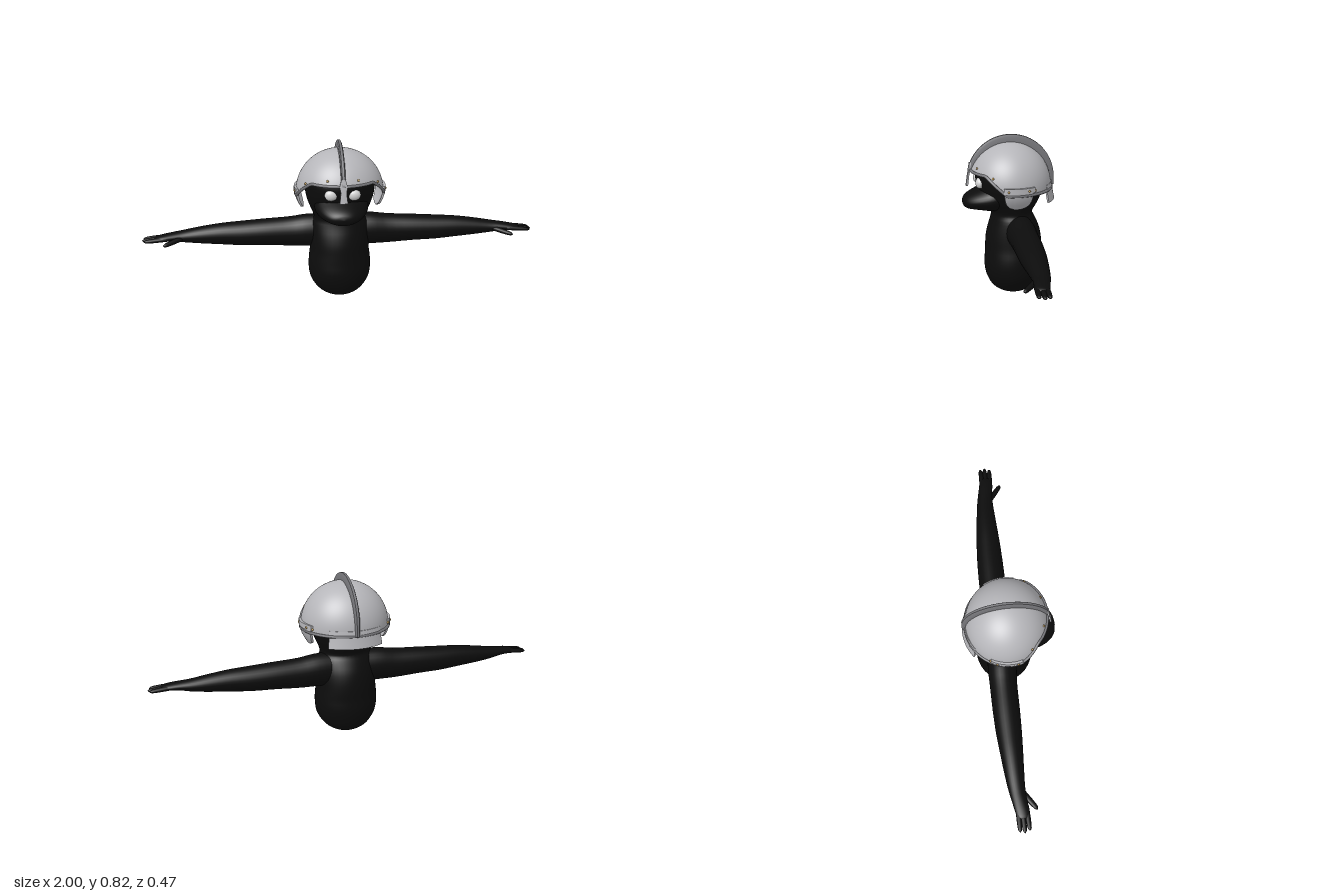
import * as THREE from 'three';
import { toCreasedNormals } from 'three/addons/utils/BufferGeometryUtils.js';

const V = (x, y, z) => new THREE.Vector3(x, y, z);
const mat = (name, color, side = THREE.FrontSide) => {
  const m = new THREE.MeshStandardMaterial({ color, side });
  m.name = name;
  return m;
};

// Closed, capped skin over rings of points; "smooth" adds splined rings in between
function loft(rings, smooth = 0, crease = 0) {
  const n = rings[0].length;
  if (smooth) {
    const cols = rings[0].map((_, j) => new THREE.CatmullRomCurve3(rings.map(r => r[j]), false, 'centripetal'));
    const total = (rings.length - 1) * smooth;
    rings = Array.from({ length: total + 1 }, (_, i) => cols.map(c => c.getPoint(i / total)));
  }
  const pts = rings.flat(), idx = [], last = rings.length - 1;
  for (let i = 0; i < last; i++) for (let j = 0; j < n; j++) {
    const a = i * n + j, b = i * n + (j + 1) % n;
    idx.push(a, b, a + n, b, b + n, a + n);
  }
  for (const [row, end] of [[0, 0], [last, 1]]) {
    const c = pts.length, mid = V(0, 0, 0);
    rings[row].forEach(p => mid.addScaledVector(p, 1 / n));
    pts.push(mid);
    for (let j = 0; j < n; j++) {
      const a = row * n + j, b = row * n + (j + 1) % n;
      if (end) idx.push(a, b, c); else idx.push(b, a, c);
    }
  }
  // Turn the faces outwards when the signed volume is negative
  let vol = 0;
  for (let i = 0; i < idx.length; i += 3) {
    vol += pts[idx[i]].dot(V(0, 0, 0).crossVectors(pts[idx[i + 1]], pts[idx[i + 2]]));
  }
  if (vol < 0) idx.reverse();
  const g = new THREE.BufferGeometry().setFromPoints(pts);
  g.setIndex(idx);
  g.computeVertexNormals();
  return crease ? toCreasedNormals(g, crease) : g;
}

const ring = (n, f) => Array.from({ length: n }, (_, j) => {
  const a = j / n * Math.PI * 2;
  return f(Math.cos(a), Math.sin(a));
});

// Helmet shell dimensions
const CY = 0.57, CZ = -0.005, RX = 0.22, RY = 0.215, RZ = 0.208;
const rimY = z => THREE.MathUtils.lerp(0.56, 0.647, THREE.MathUtils.clamp((z - 0.03) / 0.1, 0, 1));
const domePoint = (a, y, grow = 0) => {
  const s = Math.sqrt(Math.max(0, 1 - ((Math.max(y, CY) - CY) / RY) ** 2));
  return V((RX + grow) * s * Math.sin(a), y, CZ + (RZ + grow) * s * Math.cos(a));
};
const sideX = z => Math.sqrt(Math.max(0, 1 - ((z - CZ) / RZ) ** 2));

export function createModel() {
  const model = new THREE.Group();
  const fur = mat('black fur', 0x0c0c0c);
  const steel = mat('light steel', 0xb6b6ba, THREE.DoubleSide);
  const dark = mat('dark steel', 0x77777b);
  const brass = mat('brass', 0xb3914f);
  const eyeWhite = mat('eye white', 0xd6d6d6);
  const add = (name, geo, m) => {
    const mesh = new THREE.Mesh(geo, m);
    mesh.name = name;
    model.add(mesh);
    return mesh;
  };

  // Torso, neck and head: y, half width, front z, back z
  const body = [
    [0, 0.005, -0.02, -0.03], [0.006, 0.04, 0.015, -0.065], [0.022, 0.08, 0.055, -0.102],
    [0.05, 0.116, 0.088, -0.135], [0.1, 0.148, 0.113, -0.157], [0.15, 0.158, 0.122, -0.167],
    [0.2, 0.158, 0.12, -0.166], [0.25, 0.152, 0.118, -0.168], [0.3, 0.15, 0.115, -0.165],
    [0.35, 0.148, 0.105, -0.154], [0.4, 0.142, 0.09, -0.132], [0.43, 0.13, 0.086, -0.118],
    [0.46, 0.138, 0.1, -0.133], [0.5, 0.155, 0.13, -0.155], [0.55, 0.17, 0.152, -0.168],
    [0.6, 0.176, 0.166, -0.172], [0.64, 0.175, 0.165, -0.17], [0.7, 0.135, 0.125, -0.135],
    [0.74, 0.03, 0.03, -0.03],
  ];
  add('body', loft(body.map(([y, rx, f, b]) =>
    ring(40, (c, s) => V(rx * c, y, (f + b) / 2 + (f - b) / 2 * s))), 3), fur);

  // Muzzle: z, centre y, half height, half width
  const muzzle = [
    [0, 0.53, 0.09, 0.13], [0.09, 0.512, 0.075, 0.134], [0.14, 0.503, 0.059, 0.12],
    [0.18, 0.496, 0.047, 0.1], [0.21, 0.49, 0.036, 0.074], [0.227, 0.488, 0.022, 0.045],
    [0.234, 0.488, 0.004, 0.008],
  ];
  add('muzzle', loft(muzzle.map(([z, y, ry, rx]) =>
    ring(32, (c, s) => V(rx * c, y + ry * s, z))), 3), fur);

  // Arm: x, centre y, half height, centre z, half depth
  const arm = [
    [0.06, 0.345, 0.085, -0.045, 0.07], [0.16, 0.347, 0.083, -0.047, 0.073],
    [0.25, 0.342, 0.076, -0.05, 0.069], [0.38, 0.342, 0.068, -0.05, 0.068],
    [0.5, 0.34, 0.062, -0.049, 0.064], [0.6, 0.341, 0.054, -0.047, 0.057],
    [0.7, 0.339, 0.043, -0.045, 0.049], [0.79, 0.337, 0.03, -0.041, 0.041],
    [0.85, 0.338, 0.021, -0.033, 0.037], [0.9, 0.335, 0.016, -0.026, 0.034],
    [0.925, 0.334, 0.01, -0.026, 0.026], [0.935, 0.333, 0.002, -0.026, 0.006],
  ];
  // Finger and thumb: from, to, base radius
  const fingers = [
    [V(0.87, 0.337, -0.045), V(0.992, 0.326, -0.047), 0.014],
    [V(0.87, 0.336, -0.026), V(0.998, 0.324, -0.024), 0.014],
    [V(0.87, 0.335, -0.006), V(0.988, 0.326, 0.001), 0.014],
    [V(0.8, 0.333, -0.015), V(0.888, 0.318, 0.05), 0.015],
  ];
  const mirror = p => V(-p.x, p.y, p.z);
  for (const [side, fix] of [['left', p => p], ['right', mirror]]) {
    add(side + 'Arm', loft(arm.map(([x, y, ry, z, rz]) =>
      ring(28, (c, s) => fix(V(x, y + ry * s, z + rz * c)))), 3), fur);
    fingers.forEach(([from, to, r], i) => {
      const dir = to.clone().sub(from).normalize();
      const u = V(0, 1, 0).cross(dir).normalize(), w = dir.clone().cross(u);
      const rows = [[0, 1], [0.4, 0.95], [0.8, 0.8], [0.94, 0.55], [1, 0.05]];
      add(side + (i < 3 ? 'Finger' : 'Thumb'), loft(rows.map(([t, k]) => ring(12, (c, s) =>
        fix(from.clone().lerp(to, t).addScaledVector(u, r * k * c).addScaledVector(w, r * k * 0.85 * s)))), 2), fur);
    });

    const sx = side === 'left' ? 1 : -1;
    const eye = add(side + 'Eye', new THREE.SphereGeometry(1, 24, 16), eyeWhite);
    eye.scale.set(0.032, 0.028, 0.022);
    eye.position.set(sx * 0.057, 0.592, 0.15);

    // Curved side plates: rows of y, front z, back z, x radius
    const plate = (rows, thick) => loft(rows.map(([y, f, b, r]) => {
      const out = [], inn = [];
      for (let k = 0; k <= 12; k++) {
        const z = f + (b - f) * k / 12;
        out.push(fix(V(r * sideX(z), y, z)));
        inn.unshift(fix(V((r - thick) * sideX(z), y, z)));
      }
      return [...out, ...inn];
    }), 0, 0.7);
    add(side + 'EarStrap', plate([[0.572, 0.05, -0.105, 0.231], [0.598, 0.05, -0.105, 0.23]], 0.018), steel);
    add(side + 'EarFlap', plate([
      [0.58, 0.046, -0.097, 0.228], [0.555, 0.046, -0.096, 0.226], [0.53, 0.042, -0.09, 0.218],
      [0.51, 0.034, -0.08, 0.208], [0.495, 0.018, -0.062, 0.199], [0.486, -0.005, -0.036, 0.194],
    ], 0.012), steel);

    // Rivets: z, y, distance outside the shell
    for (const [z, y, out] of [[0.165, 0.67, 0], [0.098, 0.64, 0.001], [0.027, 0.583, 0.01], [-0.075, 0.583, 0.01], [-0.107, 0.58, 0.003]]) {
      const s = Math.sqrt(1 - ((y - CY) / RY) ** 2);
      const a = Math.acos((z - CZ) / ((RZ + out) * s));
      const rivet = add(side + 'Rivet', new THREE.SphereGeometry(0.006, 12, 8), brass);
      rivet.position.copy(domePoint(sx * a, y, out));
    }
  }

  // Helmet dome cut along the rim line
  const NA = 96, NV = 24, pos = [], idx = [];
  const rimAt = a => rimY(CZ + RZ * 0.95 * Math.cos(a));
  for (let i = 0; i <= NV; i++) for (let j = 0; j < NA; j++) {
    const a = j / NA * Math.PI * 2, low = rimAt(a);
    const t = i / NV * Math.PI / 2;
    pos.push(domePoint(a, low + (CY + RY - low) * Math.cos(t)));
  }
  for (let i = 0; i < NV; i++) for (let j = 0; j < NA; j++) {
    const a = i * NA + j, b = i * NA + (j + 1) % NA;
    idx.push(a, a + NA, b, b, a + NA, b + NA);
  }
  const dome = new THREE.BufferGeometry().setFromPoints(pos);
  dome.setIndex(idx);
  dome.computeVertexNormals();
  add('helmetDome', dome, steel);

  // Rolled rim
  const rim = Array.from({ length: 72 }, (_, j) => {
    const a = j / 72 * Math.PI * 2;
    return domePoint(a, rimAt(a), 0.002);
  });
  add('helmetRim', new THREE.TubeGeometry(new THREE.CatmullRomCurve3(rim, true), 160, 0.0075, 8, true), dark);

  // Crest arching from brow to nape
  const crest = [];
  for (let k = 0; k <= 40; k++) {
    const a = THREE.MathUtils.lerp(0.23, Math.PI, k / 40), c = Math.cos(a), s = Math.sin(a);
    const zo = -0.01 + 0.22 * c, yo = 0.6 + 0.222 * s, zi = -0.008 + 0.196 * c, yi = 0.595 + 0.18 * s;
    crest.push([zo, yo, zi, yi]);
  }
  crest.push([-0.23, 0.56, -0.205, 0.56]);
  add('crest', loft(crest.map(([zo, yo, zi, yi]) => {
    const z = t => zi + (zo - zi) * t, y = t => yi + (yo - yi) * t;
    return [[-0.011, 0], [-0.011, 0.75], [-0.006, 1], [0.006, 1], [0.011, 0.75], [0.011, 0]]
      .map(([x, t]) => V(x, y(t), z(t)));
  }), 0, 0.8), dark);

  // Nose guard
  const nose = [[0.685, 0.194, 0.01], [0.65, 0.199, 0.02], [0.62, 0.204, 0.014], [0.59, 0.208, 0.017], [0.568, 0.211, 0.02]];
  add('noseGuard', loft(nose.map(([y, z, w]) =>
    [V(-w, y, z - 0.006), V(w, y, z - 0.006), V(w, y, z + 0.002), V(0, y, z + 0.005), V(-w, y, z + 0.002)]), 0, 0.5), steel);

  // Neck guard
  add('neckGuard', loft([[0.587, 0.214], [0.545, 0.22], [0.5, 0.229]].map(([y, r]) => {
    const arc = (rad, dir) => Array.from({ length: 21 }, (_, k) => {
      const a = Math.PI + dir * (k / 10 - 1) * 0.65;
      return V(rad * Math.sin(a), y, CZ + (rad - 0.003) * Math.cos(a));
    });
    return [...arc(r, 1), ...arc(r - 0.01, -1)];
  }), 0, 0.6), steel);

  return model;
}
